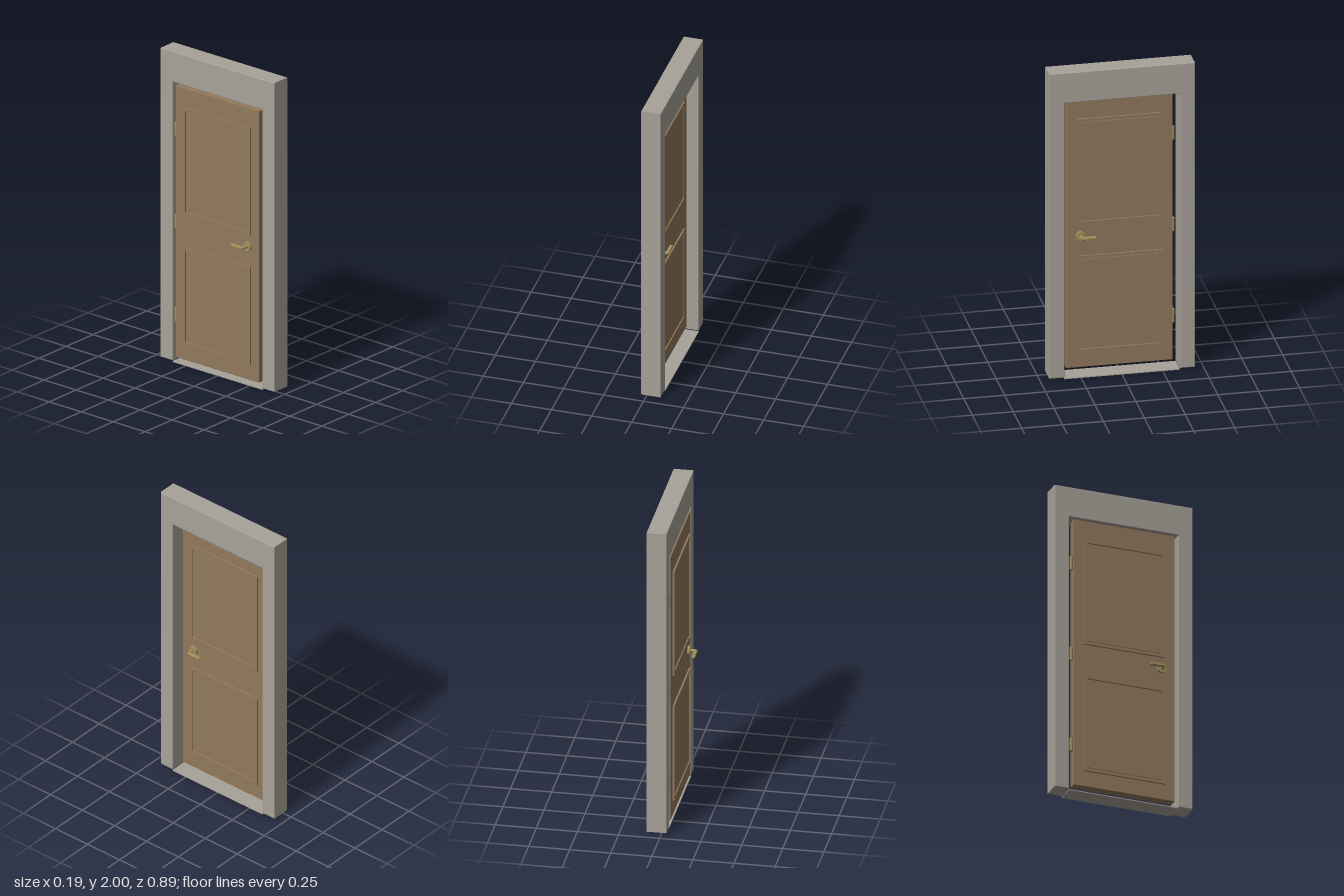
import * as THREE from 'three';
import { RoundedBoxGeometry } from 'three/addons/geometries/RoundedBoxGeometry.js';

const mat = (name, color) => Object.assign(new THREE.MeshStandardMaterial({ color }), { name });

export function createModel() {
  const plaster = mat('stone grey', 0xa8a399);
  const wood = mat('wood brown', 0x92795d);
  const brass = mat('aged brass', 0xa2915c);
  const model = new THREE.Group();
  model.name = 'door';

  function add(parent, name, geometry, material, x = 0, y = 0, z = 0) {
    const mesh = new THREE.Mesh(geometry, material);
    mesh.name = name;
    mesh.position.set(x, y, z);
    parent.add(mesh);
    return mesh;
  }

  // Surround: an upside-down U, slightly bevelled, extruded along x
  const u = new THREE.Shape([
    [-0.445, 0.01], [-0.352, 0.01], [-0.352, 1.805], [0.352, 1.805],
    [0.352, 0.01], [0.445, 0.01], [0.445, 2], [-0.445, 2],
  ].map(([a, b]) => new THREE.Vector2(a, b)));
  const bevel = 0.004;
  const surround = new THREE.ExtrudeGeometry(u, {
    depth: 0.123 - 2 * bevel, bevelEnabled: true, bevelSize: bevel,
    bevelThickness: bevel, bevelOffset: -bevel, bevelSegments: 2,
  });
  surround.rotateY(Math.PI / 2);
  add(model, 'frame', surround, plaster, -0.032 + bevel);
  add(model, 'threshold', new THREE.BoxGeometry(0.123, 0.006, 0.704), plaster, 0.0295, 0.003);

  // Door leaf
  const back = -0.035, front = 0.022, mid = (back + front) / 2, half = (front - back) / 2;
  add(model, 'leaf', new RoundedBoxGeometry(front - back, 1.75, 0.652, 1, 0.003), wood, mid, 0.915, 0.002);

  // Rectangular moulding ring, lying in the y-z plane
  function ringGeometry(w, h, border, depth) {
    const rect = (S, a, b) => new S([[-a, -b], [a, -b], [a, b], [-a, b]].map(p => new THREE.Vector2(...p)));
    const shape = rect(THREE.Shape, w / 2, h / 2);
    shape.holes.push(rect(THREE.Path, w / 2 - border, h / 2 - border));
    const g = new THREE.ExtrudeGeometry(shape, { depth, bevelEnabled: false });
    return g.rotateY(Math.PI / 2);
  }

  // Both faces carry the same panels and lever handle
  for (const side of [-1, 1]) {
    const face = new THREE.Group();
    face.name = side < 0 ? 'outerFace' : 'innerFace';
    face.position.x = mid;
    face.scale.x = side;
    model.add(face);

    for (const [y, h] of [[1.32, 0.69], [0.455, 0.63]]) {
      add(face, 'moulding', ringGeometry(0.526, h, 0.02, 0.011), wood, half, y, 0.002);
      add(face, 'panel', new THREE.BoxGeometry(0.006, h - 0.05, 0.482), wood, half + 0.003, y, 0.002);
    }

    const handle = new THREE.Group();
    handle.name = 'handle';
    handle.position.set(half, 0.9, 0.242);
    face.add(handle);
    const rose = new THREE.CylinderGeometry(0.028, 0.029, 0.014, 32).rotateZ(-Math.PI / 2);
    add(handle, 'rosette', rose, brass, 0.007);
    const stem = new THREE.CylinderGeometry(0.009, 0.009, 0.04, 20).rotateZ(-Math.PI / 2);
    add(handle, 'stem', stem, brass, 0.031);
    add(handle, 'lever', new RoundedBoxGeometry(0.021, 0.017, 0.09, 3, 0.005), brass, 0.049, 0, -0.045);
  }

  // Hinge knuckles in the gap beside the leaf
  for (const y of [0.31, 0.908, 1.505]) {
    add(model, 'hinge', new THREE.CylinderGeometry(0.01, 0.01, 0.084, 16), brass, -0.02, y, -0.334);
  }
  return model;
}
